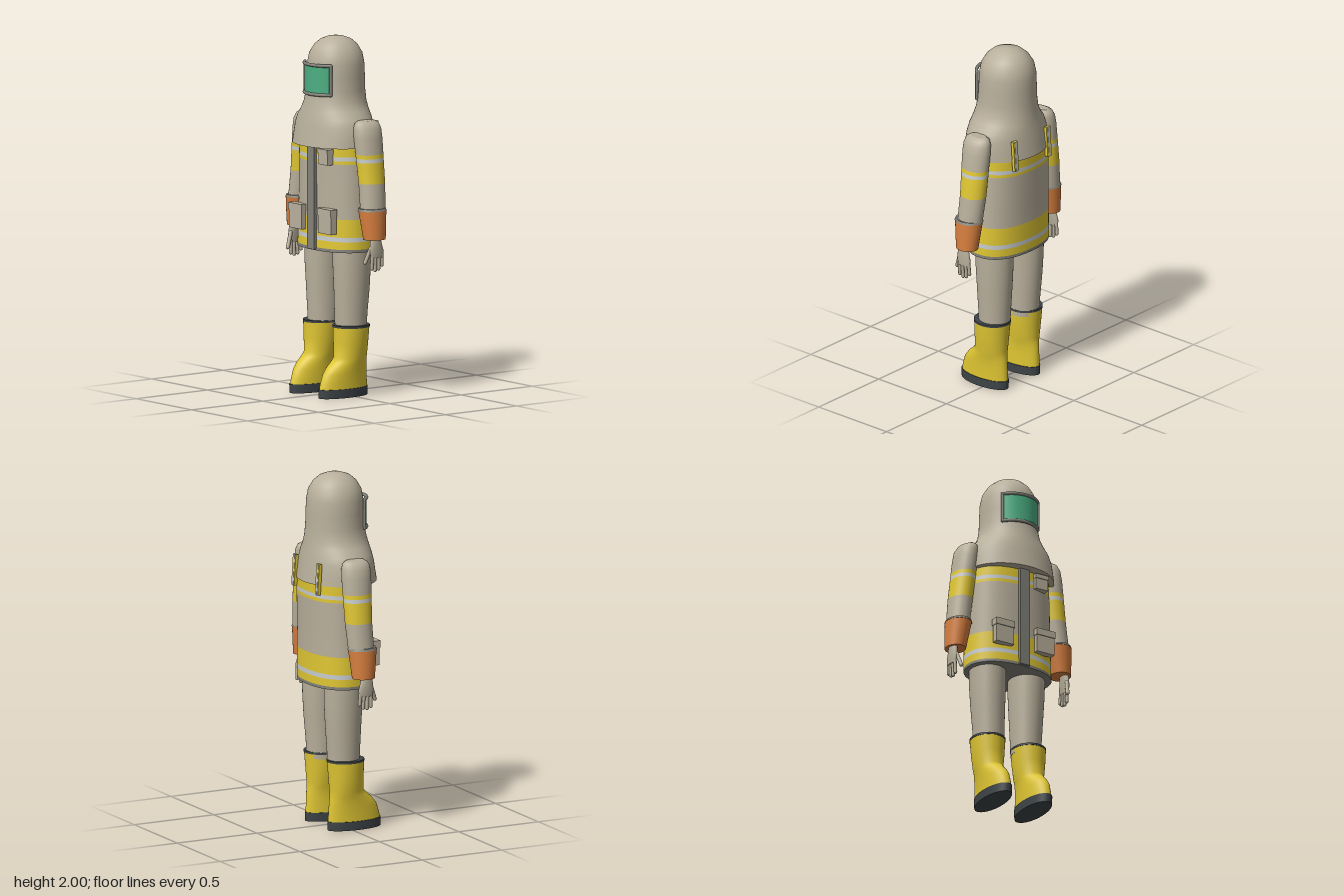
import * as THREE from 'three';

const flat = (name, color) => {
  const m = new THREE.MeshStandardMaterial({ color });
  m.name = name;
  return m;
};
const cloth = flat('beige cloth', 0xb9b09c);
const yellow = flat('yellow', 0xe0c733);
const silver = flat('reflective stripe', 0xc9cdcf);
const trim = flat('grey trim', 0x83827a);
const orange = flat('orange cuff', 0xd9803f);
const green = flat('green glass', 0x4caf82);
const dark = flat('dark rubber', 0x3f4548);

// Interpolate a cross-section [y, cx, cz, rx, rz] at height y
function ringAt(rings, y) {
  const i = Math.max(1, rings.findIndex(r => r[0] >= y));
  const a = rings[i - 1], b = rings[i], t = (y - a[0]) / (b[0] - a[0]);
  return a.map((v, k) => v + (b[k] - v) * t);
}

// Smooth closed skin through rounded cross-sections, listed bottom to top.
// bands: [upper limit, material] from the bottom up.
function loft(name, rings, bands, { power = 2, under = null, seg = 40 } = {}) {
  const cuts = bands.slice(0, -1).map(b => b[0]).filter(y => !rings.some(r => Math.abs(r[0] - y) < 1e-4));
  const all = [...rings, ...cuts.map(y => ringAt(rings, y))].sort((a, b) => a[0] - b[0]);
  const pos = [], idx = [], mats = bands.map(b => b[1]);
  const geo = new THREE.BufferGeometry();
  const addRing = ([y, cx, cz, rx, rz]) => {
    for (let j = 0; j < seg; j++) {
      const a = (j / seg) * Math.PI * 2, c = Math.cos(a), s = Math.sin(a);
      pos.push(cx + rx * Math.sign(c) * Math.abs(c) ** (2 / power), y,
        cz + rz * Math.sign(s) * Math.abs(s) ** (2 / power));
    }
  };
  all.forEach(addRing);
  for (let i = 0; i < all.length - 1; i++) {
    const mid = (all[i][0] + all[i + 1][0]) / 2;
    const found = bands.findIndex(b => mid < b[0]);
    geo.addGroup(idx.length, seg * 6, found < 0 ? bands.length - 1 : found);
    for (let j = 0; j < seg; j++) {
      const a = i * seg + j, b = i * seg + (j + 1) % seg;
      idx.push(a, a + seg, b, b, a + seg, b + seg);
    }
  }
  // End caps with their own vertices so the rims stay crisp
  [all[0], all[all.length - 1]].forEach((r, top) => {
    const base = pos.length / 3;
    addRing(r);
    pos.push(r[1], r[0], r[2]);
    geo.addGroup(idx.length, seg * 3, top ? bands.length - 1 : mats.length);
    for (let j = 0; j < seg; j++) {
      const a = base + j, b = base + (j + 1) % seg;
      idx.push(base + seg, ...(top ? [b, a] : [a, b]));
    }
  });
  mats.push(under || bands[0][1]);
  geo.setAttribute('position', new THREE.Float32BufferAttribute(pos, 3));
  geo.setIndex(idx);
  geo.computeVertexNormals();
  const mesh = new THREE.Mesh(geo, mats);
  mesh.name = name;
  return mesh;
}

function part(name, geo, mat, x = 0, y = 0, z = 0) {
  const m = new THREE.Mesh(geo, mat);
  m.name = name;
  m.position.set(x, y, z);
  return m;
}
const box = (name, mat, w, h, d, x, y, z) => part(name, new THREE.BoxGeometry(w, h, d), mat, x, y, z);

// Round limb between two points
function finger(name, a, b, r) {
  const p = new THREE.Vector3(...a), q = new THREE.Vector3(...b), d = q.clone().sub(p);
  const m = part(name, new THREE.CapsuleGeometry(r, d.length(), 4, 10), cloth);
  m.position.copy(p).add(q).multiplyScalar(0.5);
  m.quaternion.setFromUnitVectors(new THREE.Vector3(0, 1, 0), d.normalize());
  return m;
}

function pocket(name, x, y, w, h, z) {
  const g = new THREE.Group();
  g.name = name;
  g.add(box('pocketBody', cloth, w, h, 0.04, x, y, z),
    box('pocketFlap', cloth, w + 0.006, h * 0.28, 0.046, x, y + h * 0.36, z + 0.002));
  return g;
}

function makeArm(s) {
  const g = new THREE.Group();
  g.name = s > 0 ? 'leftArm' : 'rightArm';
  g.add(loft('sleeve', [
    [1.04, 0.326 * s, -0.018, 0.062, 0.074], [1.21, 0.305 * s, -0.026, 0.066, 0.078],
    [1.37, 0.286 * s, -0.024, 0.065, 0.084], [1.46, 0.275 * s, -0.023, 0.064, 0.087],
    [1.51, 0.268 * s, -0.023, 0.061, 0.085], [1.54, 0.262 * s, -0.023, 0.048, 0.076],
    [1.553, 0.256 * s, -0.023, 0.028, 0.055],
  ], [[1.21, cloth], [1.327, yellow], [1.348, silver], [1.37, yellow], [2, cloth]]));
  g.add(loft('gloveCuff', [
    [0.9, 0.343 * s, -0.015, 0.057, 0.065], [0.98, 0.335 * s, -0.014, 0.065, 0.073],
    [1.065, 0.325 * s, -0.013, 0.072, 0.082],
  ], [[2, orange]]));
  g.add(loft('cuffRim', [
    [1.06, 0.3255 * s, -0.013, 0.074, 0.084], [1.073, 0.324 * s, -0.013, 0.069, 0.079],
  ], [[2, trim]]));
  // Hand hanging from the cuff
  g.add(loft('palm', [
    [0.8, 0.368 * s, -0.014, 0.012, 0.04], [0.835, 0.367 * s, -0.012, 0.017, 0.047],
    [0.87, 0.365 * s, -0.008, 0.019, 0.04], [0.92, 0.362 * s, -0.006, 0.022, 0.03],
  ], [[2, cloth]], { seg: 20 }));
  [-0.046, -0.025, -0.003, 0.018].forEach((z, i) => {
    const tip = [0.755, 0.735, 0.73, 0.74][i];
    g.add(finger('finger', [0.367 * s, 0.82, z], [0.364 * s, tip, z * 1.1], 0.01));
  });
  g.add(finger('thumb', [0.36 * s, 0.855, 0.024], [0.347 * s, 0.775, 0.054], 0.011));
  return g;
}

function makeLeg(s) {
  const g = new THREE.Group();
  g.name = s > 0 ? 'leftLeg' : 'rightLeg';
  g.add(loft('trouserLeg', [
    [0.36, 0.122 * s, -0.022, 0.083, 0.09], [0.45, 0.122 * s, -0.022, 0.086, 0.094],
    [0.6, 0.125 * s, -0.025, 0.093, 0.103], [0.72, 0.126 * s, -0.025, 0.099, 0.109],
    [0.85, 0.127 * s, -0.025, 0.102, 0.11],
  ], [[2, cloth]]));
  g.add(loft('boot', [
    [0.045, 0.131 * s, 0.04, 0.067, 0.16], [0.08, 0.131 * s, 0.037, 0.067, 0.155],
    [0.13, 0.132 * s, 0.03, 0.068, 0.145], [0.165, 0.133 * s, 0.018, 0.07, 0.13],
    [0.195, 0.133 * s, 0.003, 0.073, 0.111], [0.22, 0.133 * s, -0.009, 0.078, 0.099],
    [0.3, 0.133 * s, -0.012, 0.089, 0.101], [0.388, 0.133 * s, -0.015, 0.095, 0.105],
  ], [[2, yellow]]));
  g.add(loft('bootRim', [
    [0.386, 0.133 * s, -0.015, 0.097, 0.107], [0.398, 0.133 * s, -0.015, 0.097, 0.107],
  ], [[2, dark]]));
  g.add(loft('sole', [
    [0, 0.131 * s, 0.04, 0.069, 0.162], [0.05, 0.131 * s, 0.04, 0.071, 0.164],
  ], [[2, dark]]));
  return g;
}

function makeVisor() {
  const g = new THREE.Group();
  g.name = 'visor';
  g.position.set(0, 1.77, 0.022);
  const R = 0.148, a = 0.9, h = 0.082;
  const glass = new THREE.CylinderGeometry(R, R, 2 * h, 24, 1, true, -a, 2 * a);
  g.add(part('glass', glass, green));
  for (const s of [1, -1]) {
    const arc = new THREE.TorusGeometry(R, 0.0095, 8, 24, 2 * a).rotateZ(Math.PI / 2 - a).rotateX(Math.PI / 2);
    g.add(part('frameRail', arc, trim, 0, h * s, 0));
    g.add(part('framePost', new THREE.CapsuleGeometry(0.0095, 2 * h, 4, 8), trim,
      R * Math.sin(a) * s, 0, R * Math.cos(a)));
  }
  return g;
}

export function createModel() {
  const model = new THREE.Group();
  model.name = 'protectiveSuitFigure';

  // Coat with its reflective bands and hem
  model.add(loft('coat', [
    [0.815, 0, -0.018, 0.258, 0.17], [0.9, 0, -0.02, 0.257, 0.168], [1.1, 0, -0.021, 0.251, 0.168],
    [1.3, 0, -0.023, 0.246, 0.172], [1.42, 0, -0.024, 0.24, 0.174],
  ], [[0.832, trim], [0.875, yellow], [0.9, silver], [1.0, yellow], [1.308, cloth],
    [1.326, yellow], [1.348, silver], [2, yellow]], { power: 2.3, under: trim, seg: 56 }));
  model.add(box('frontFlap', trim, 0.064, 0.585, 0.05, 0, 1.1125, 0.142));
  for (const s of [1, -1]) model.add(pocket('hipPocket', 0.132 * s, 0.99, 0.115, 0.14, 0.15));
  model.add(pocket('chestPocket', 0.11, 1.348, 0.08, 0.088, 0.145));

  // Hood flaring into a shoulder cape
  model.add(loft('hood', [
    [1.4, 0, 0, 0.262, 0.211], [1.45, 0, -0.001, 0.258, 0.203], [1.51, 0, -0.002, 0.25, 0.195],
    [1.555, 0, -0.003, 0.232, 0.187], [1.595, 0, -0.005, 0.198, 0.18], [1.64, 0, -0.007, 0.174, 0.172],
    [1.7, 0, -0.01, 0.164, 0.164], [1.78, 0, -0.011, 0.161, 0.161], [1.85, 0, -0.011, 0.158, 0.158],
    [1.905, 0, -0.011, 0.146, 0.148], [1.95, 0, -0.011, 0.118, 0.122], [1.98, 0, -0.011, 0.083, 0.087],
    [1.995, 0, -0.011, 0.045, 0.045], [2, 0, -0.011, 0.004, 0.004],
  ], [[3, cloth]], { seg: 56 }));
  model.add(makeVisor());

  // Straps down the back
  for (const s of [1, -1]) {
    const strap = new THREE.Group();
    strap.name = 'backStrap';
    strap.position.set(0.137 * s, 1.435, -0.186);
    strap.rotation.x = 0.06;
    strap.add(box('strapWeb', yellow, 0.034, 0.175, 0.018, 0, 0, 0),
      box('strapStripe', silver, 0.014, 0.176, 0.008, 0, 0, -0.007));
    model.add(strap);
  }

  for (const s of [1, -1]) model.add(makeArm(s), makeLeg(s));
  return model;
}
